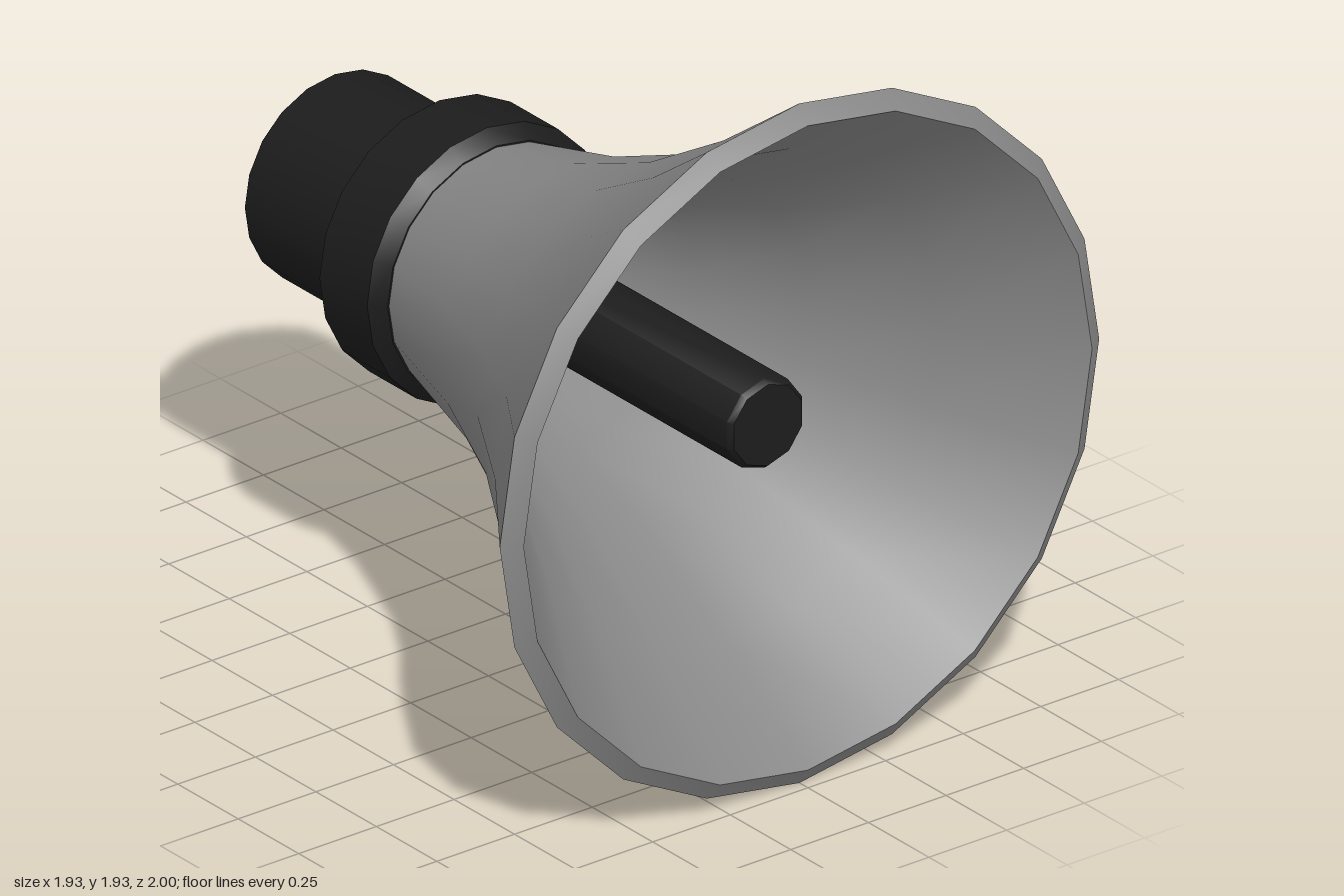
import * as THREE from 'three';
import { toCreasedNormals } from 'three/addons/utils/BufferGeometryUtils.js';

const AXIS_HEIGHT = 0.965;

// Revolves [radius, z] pairs about the z axis; the profile runs back to front on the outside
function turned(name, profile, sides, color, crease) {
  const points = profile.map(([r, z]) => new THREE.Vector2(r, z));
  const geometry = new THREE.LatheGeometry(points, sides).rotateX(Math.PI / 2);
  const mesh = new THREE.Mesh(
    toCreasedNormals(geometry, crease),
    new THREE.MeshStandardMaterial({ color })
  );
  mesh.name = name;
  mesh.position.y = AXIS_HEIGHT;
  return mesh;
}

export function createModel() {
  const model = new THREE.Group();
  model.name = 'hornSpeaker';

  // Flared bell: outer wall, bevelled lip, inner wall back to the throat
  model.add(turned('hornBell', [
    [0.345, -0.29], [0.425, 0.03], [0.55, 0.34], [0.735, 0.65], [0.965, 0.965],
    [0.915, 1],
    [0.685, 0.66], [0.5, 0.34], [0.37, 0.03], [0.287, -0.29],
  ], 20, 0x888888, 0.6));

  // Driver: chamfered barrel, stepped collar, and the flat plate closing the throat
  model.add(turned('driverHousing', [
    [0, -1], [0.245, -1], [0.29, -0.955], [0.29, -0.55],
    [0.387, -0.522], [0.387, -0.325], [0.35, -0.288], [0, -0.288],
  ], 20, 0x1c1c1c, 0.6));

  // Slim rod reaching from the throat almost to the mouth
  model.add(turned('centreRod', [
    [0.127, -0.3], [0.127, 0.82], [0.115, 0.835], [0, 0.835],
  ], 10, 0x1c1c1c, 0.68));

  return model;
}
